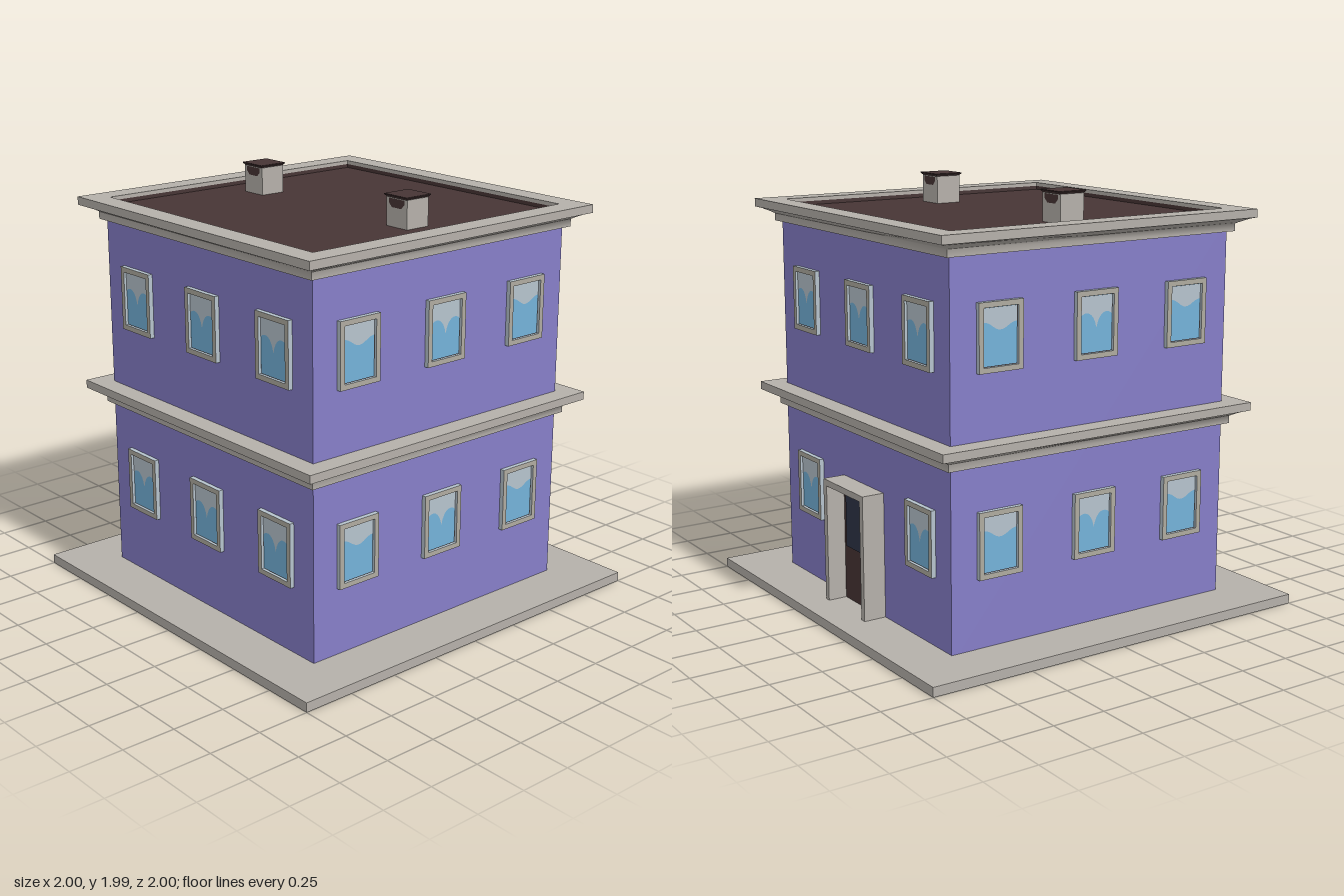
import * as THREE from 'three';
import { toCreasedNormals } from 'three/addons/utils/BufferGeometryUtils.js';

const mat = (name, color) => {
  const m = new THREE.MeshStandardMaterial({ color });
  m.name = name;
  return m;
};

export function createModel() {
  const wall = mat('lilac wall', 0x867ec8);
  const stone = mat('grey stone', 0xb5b0aa);
  const trim = mat('window trim', 0xafaba0);
  const brown = mat('dark brown', 0x473535);
  const blue = mat('window blue', 0x74b2d9);
  const pale = mat('window reflection', 0xb6c3cd);
  const navy = mat('door glass', 0x2e3547);

  const house = new THREE.Group();
  house.name = 'house';
  const W = 0.753; // half width of the walls

  const add = (parent, name, geo, m, x = 0, y = 0, z = 0) => {
    const mesh = new THREE.Mesh(geo, m);
    mesh.name = name;
    mesh.position.set(x, y, z);
    parent.add(mesh);
    return mesh;
  };
  const box = (w, h, d) => new THREE.BoxGeometry(w, h, d);

  // Square ring swept from a half-width / height profile
  const squareSweep = (profile, crease) => {
    const pts = profile.map(([r, y]) => new THREE.Vector2(r * Math.SQRT2, y));
    return toCreasedNormals(new THREE.LatheGeometry(pts, 4, Math.PI / 4), crease);
  };

  // Ground slab and walls running down through it
  add(house, 'slab', box(2, 0.045, 2), stone, 0, 0.0225, 0);
  add(house, 'walls', box(W * 2, 1.828, W * 2), wall, 0, 0.916, 0);

  // Two coved cornices, each with a lip dropping to the surface inside
  const cornice = squareSweep([
    [0.74, 0], [0.78, 0], [0.78, 0.035], [0.79, 0.041], [0.808, 0.05],
    [0.828, 0.059], [0.85, 0.065], [0.85, 0.104], [0.74, 0.104], [0.74, 0.06],
  ], 1.2);
  add(house, 'lowerCornice', cornice, stone, 0, 0.874, 0);
  add(house, 'upperCornice', cornice, stone, 0, 1.78, 0);

  // Flat roof sunk behind the cornice lip, with an upturned edge
  add(house, 'roof', box(1.482, 0.018, 1.482), brown, 0, 1.839, 0);
  add(house, 'roofEdge', squareSweep([[0.739, 0.018], [0.739, 0]], 0.4), brown, 0, 1.848, 0);

  // Chimneys with flared caps
  const cap = squareSweep([[0.06, 0], [0.073, 0.014], [0.073, 0.018], [0, 0.018]], 0.4);
  const soot = new THREE.Shape([[-0.05, 0.02], [-0.05, 0], [-0.03, -0.02], [0.03, -0.02], [0.05, 0], [0.05, 0.02]]
    .map(([x, y]) => new THREE.Vector2(x, y)));
  for (const z of [-0.515, 0.505]) {
    const chimney = new THREE.Group();
    chimney.name = 'chimney';
    chimney.position.set(0.003, 1.84, z);
    add(chimney, 'chimneyStack', box(0.128, 0.14, 0.134), stone, 0, 0.07, 0);
    add(chimney, 'chimneyCap', cap, brown, 0, 0.135, 0);
    for (const s of [-1, 1]) {
      const plate = add(chimney, 'chimneySoot', new THREE.ShapeGeometry(soot), brown, s * 0.066, 0.116, 0);
      plate.rotation.y = s * Math.PI / 2;
    }
    house.add(chimney);
  }

  // Window frame with an opening
  const rect = (C, w, h) => {
    const s = new C();
    s.moveTo(-w / 2, -h / 2);
    s.lineTo(w / 2, -h / 2);
    s.lineTo(w / 2, h / 2);
    s.lineTo(-w / 2, h / 2);
    s.closePath();
    return s;
  };
  const frameShape = rect(THREE.Shape, 0.226, 0.304);
  frameShape.holes.push(rect(THREE.Path, 0.178, 0.256));
  const frameGeo = new THREE.ExtrudeGeometry(frameShape, { depth: 0.022, bevelEnabled: false });

  // Wavy reflection across the top of a pane
  const reflection = (left, dip, right, sharp) => {
    const s = new THREE.Shape();
    s.moveTo(-0.086, 0.125);
    s.lineTo(-0.086, left);
    if (sharp) {
      s.bezierCurveTo(-0.06, left + 0.025, -0.015, left + 0.02, 0, dip);
      s.bezierCurveTo(0.015, right + 0.02, 0.06, right + 0.025, 0.086, right);
    } else {
      s.bezierCurveTo(-0.05, left, -0.03, dip, 0, dip);
      s.bezierCurveTo(0.035, dip, 0.05, right, 0.086, right);
    }
    s.lineTo(0.086, 0.125);
    return new THREE.ShapeGeometry(s, 8);
  };
  const soft = reflection(0.065, 0.028, 0.058, false);
  const spiked = reflection(0.038, -0.018, 0.038, true);

  const makeWindow = (x, y, shine) => {
    const g = new THREE.Group();
    g.name = 'window';
    g.position.set(x, y, W);
    add(g, 'windowFrame', frameGeo, [trim, pale]);
    add(g, 'windowSash', box(0.178, 0.256, 0.008), brown, 0, 0, 0.004);
    add(g, 'windowPane', box(0.172, 0.25, 0.006), blue, 0, 0, 0.007);
    add(g, 'windowReflection', shine, pale, 0, 0, 0.0115);
    return g;
  };

  // Four sides of windows
  ['front', 'right', 'back', 'left'].forEach((side, i) => {
    const facade = new THREE.Group();
    facade.name = side + 'Windows';
    facade.rotation.y = i * Math.PI / 2;
    const shift = side === 'right' ? 0.008 : 0;
    for (const y of [0.516, 1.426]) {
      for (const x of [-0.508, 0, 0.508]) {
        if (side === 'right' && x === 0 && y < 1) continue; // doorway
        facade.add(makeWindow(x + shift, y, x === 0 || i % 2 ? spiked : soft));
      }
    }
    house.add(facade);
  });

  // Deep door surround set into the wall, with a recessed door on the right side
  const door = new THREE.Group();
  door.name = 'doorway';
  door.position.set(W, 0, 0);
  door.rotation.y = Math.PI / 2;
  for (const s of [-1, 1]) add(door, 'doorJamb', box(0.03, 0.634, 0.2), stone, s * 0.17, 0.32, 0.01);
  add(door, 'doorLintel', box(0.31, 0.03, 0.2), stone, 0, 0.622, 0.01);
  add(door, 'doorLeaf', box(0.31, 0.565, 0.02), brown, 0, 0.3265, 0.008);
  add(door, 'doorGlass', box(0.268, 0.29, 0.006), navy, 0, 0.45, 0.019);
  house.add(door);

  return house;
}
